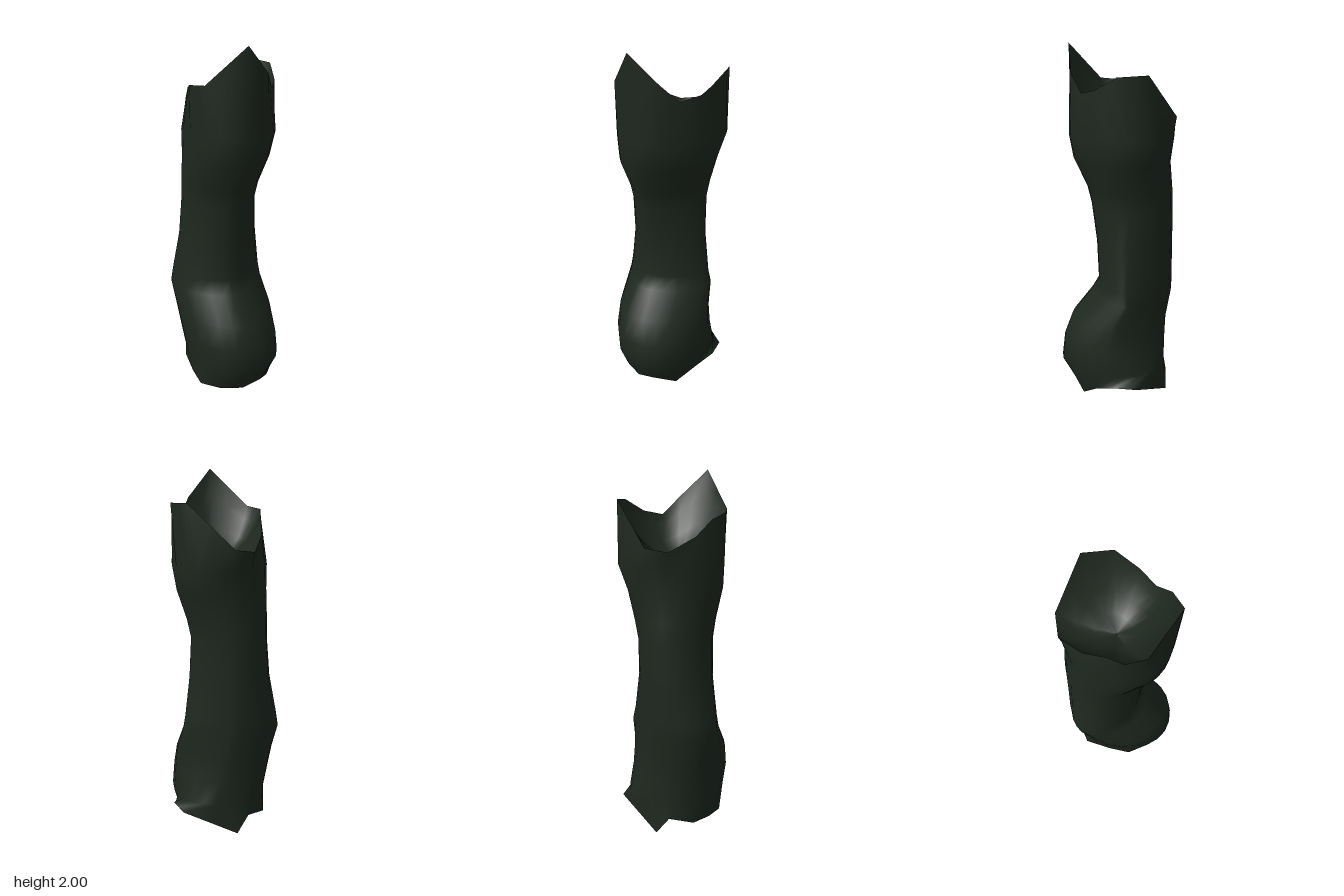
import * as THREE from 'three';

const SIDES = 24;

// Rim outlines, every 30 degrees from the front (+z) round through +x
const TOP_RIM = [
  [0, 2.0, 0.29], [0.14, 1.85, 0.215], [0.2, 1.755, 0.13], [0.26, 1.78, 0.03],
  [0.29, 1.85, -0.1], [0.23, 1.86, -0.25], [0, 1.63, -0.33], [-0.115, 1.61, -0.285],
  [-0.19, 1.68, -0.14], [-0.215, 1.76, -0.02], [-0.24, 1.79, 0.08], [-0.19, 1.8, 0.18],
];
const BOTTOM_RIM = [
  [0, 0.035, 0.25], [0.11, 0.06, 0.24], [0.2, 0.015, 0.14], [0.26, 0.09, 0.03],
  [0.3, 0.135, -0.09], [0.265, 0.13, -0.21], [-0.03, 0.005, -0.29], [-0.1, 0.1, -0.265],
  [-0.21, 0.07, -0.18], [-0.215, 0.04, -0.02], [-0.21, 0.03, 0.11], [-0.12, 0.035, 0.21],
];

// Trunk cross-sections: y, x min, x max, z min, z max, z of the widest point,
// then the sharpness of the four corners in the same order as the rims
// (below 1 is boxy, 1 is round, 2 is a straight diamond edge)
const SECTIONS = [
  [0.19, -0.24, 0.288, -0.275, 0.33, -0.03, [0.92, 1.0, 0.95, 0.95]],
  [0.32, -0.265, 0.278, -0.27, 0.32, -0.03, [0.92, 1.15, 0.95, 0.97]],
  [0.45, -0.285, 0.27, -0.27, 0.28, -0.05, [1.1, 1.3, 0.95, 1.08]],
  [0.60, -0.302, 0.245, -0.29, 0.17, -0.12, [1.25, 1.5, 0.95, 1.2]],
  [0.68, -0.29, 0.23, -0.295, 0.125, -0.11, [1.25, 1.5, 0.95, 1.15]],
  [0.90, -0.25, 0.2, -0.3, 0.135, -0.09, [1.25, 1.35, 0.95, 1.2]],
  [1.12, -0.235, 0.185, -0.3, 0.168, -0.07, [1.28, 1.05, 0.95, 1.25]],
  [1.22, -0.238, 0.205, -0.3, 0.19, -0.06, [1.28, 0.98, 1.0, 1.15]],
  [1.38, -0.24, 0.255, -0.295, 0.26, -0.04, [1.25, 0.9, 1.1, 0.93]],
  [1.52, -0.238, 0.28, -0.318, 0.275, -0.05, [1.12, 0.7, 1.12, 0.85]],
];

function sectionRing([y, x0, x1, z0, z1, zc, corners]) {
  return Array.from({ length: SIDES }, (_, i) => {
    const a = (i / SIDES) * Math.PI * 2;
    const power = corners[Math.floor((i * 4) / SIDES)];
    const shape = (v) => (Math.abs(v) < 1e-9 ? 0 : Math.sign(v) * Math.abs(v) ** power);
    const s = shape(Math.sin(a)), c = shape(Math.cos(a));
    return [(x0 + x1 + s * (x1 - x0)) / 2, y, zc + c * (c > 0 ? z1 - zc : zc - z0)];
  });
}

// Subdivides a rim outline to the trunk's number of sides
function rimRing(rim) {
  return Array.from({ length: SIDES }, (_, i) => {
    const f = (i / SIDES) * rim.length, k = Math.floor(f);
    const a = rim[k], b = rim[(k + 1) % rim.length];
    return a.map((v, j) => v + (b[j] - v) * (f - k));
  });
}

// Shrinks a rim toward its centre while moving it toward a floor height
function hollowRing(ring, scale, t, floor, zc) {
  return ring.map(([x, y, z]) => [x * scale, y + (floor - y) * t, zc + (z - zc) * scale]);
}

// Skins a stack of rings with smooth normals
function skin(name, rings, material) {
  const index = [];
  for (let r = 0; r < rings.length - 1; r++) {
    for (let i = 0; i < SIDES; i++) {
      const j = (i + 1) % SIDES;
      const a = r * SIDES + i, b = r * SIDES + j;
      index.push(a, b, b + SIDES, a, b + SIDES, a + SIDES);
    }
  }
  const geometry = new THREE.BufferGeometry();
  geometry.setAttribute('position', new THREE.Float32BufferAttribute(rings.flat(2), 3));
  geometry.setIndex(index);
  geometry.computeVertexNormals();
  const mesh = new THREE.Mesh(geometry, material);
  mesh.name = name;
  return mesh;
}

export function createModel() {
  const bark = new THREE.MeshStandardMaterial({ color: 0x1e281f, side: THREE.DoubleSide });
  bark.name = 'dark mossy bark';

  const top = rimRing(TOP_RIM);
  const bottom = rimRing(BOTTOM_RIM);
  const model = new THREE.Group();
  model.name = 'hollowTrunk';

  // Pinched trunk between the two ragged rims
  model.add(skin('trunk', [bottom, ...SECTIONS.map(sectionRing), top], bark));

  // Sloping bowl in the broken top
  model.add(skin('topHollow', [
    top,
    hollowRing(top, 0.9, 0.28, 1.54, -0.02),
    hollowRing(top, 0.65, 0.65, 1.54, -0.02),
    hollowRing(top, 0.35, 0.92, 1.54, -0.02),
    hollowRing(top, 0.01, 1, 1.54, -0.02),
  ], bark));

  // Thick lip and shallow hollow underneath
  const lip = hollowRing(bottom, 0.76, 0.35, 0.12, 0);
  model.add(skin('bottomLip', [lip, bottom], bark));
  model.add(skin('bottomHollow', [
    hollowRing(lip, 0.01, 1, 0.19, 0),
    hollowRing(lip, 0.5, 0.93, 0.19, 0),
    hollowRing(lip, 0.85, 0.6, 0.19, 0),
    lip,
  ], bark));

  return model;
}
